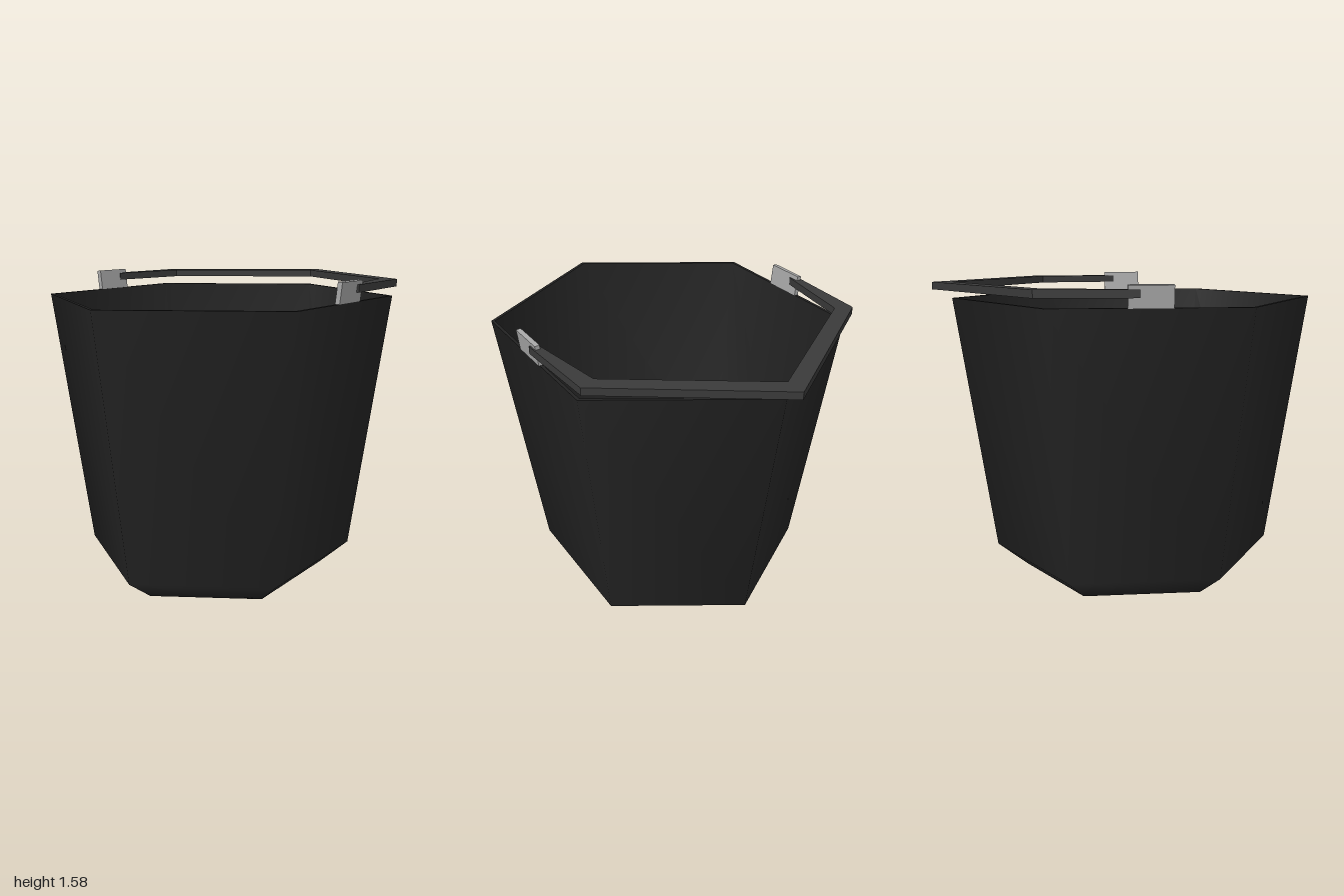
import * as THREE from 'three';

const bucketBlack = new THREE.MeshStandardMaterial({ color: 0x232323 });
bucketBlack.name = 'bucketBlack';
const handleGrey = new THREE.MeshStandardMaterial({ color: 0x3a3a3a });
handleGrey.name = 'handleGrey';
const bracketGrey = new THREE.MeshStandardMaterial({ color: 0xa8a8a8 });
bracketGrey.name = 'bracketGrey';

const CENTRE_X = -0.05;
const SQUASH = 0.924; // the hexagon is slightly narrower front to back
const RIM_Y = 1.48;

// Six-sided smooth shell from a [radius, height] profile, corners on the x axis
function hexShell(name, profile) {
  const points = profile.map(([r, y]) => new THREE.Vector2(r, y));
  const geometry = new THREE.LatheGeometry(points, 6, Math.PI / 2);
  geometry.scale(1, 1, SQUASH).translate(CENTRE_X, 0, 0);
  const mesh = new THREE.Mesh(geometry, bucketBlack);
  mesh.name = name;
  return mesh;
}

export function createModel() {
  const model = new THREE.Group();
  model.name = 'bucket';

  // Hollow body with a chamfered foot and a thin flat rim
  model.add(
    hexShell('outerWall', [[0, 0], [0.6, 0], [0.755, 0.12], [0.95, RIM_Y]]),
    hexShell('rim', [[0.95, RIM_Y], [0.93, RIM_Y]]),
    hexShell('innerWall', [[0.93, RIM_Y], [0.735, 0.13], [0.59, 0.02], [0, 0.02]])
  );

  // Flat angular handle lying over the right half of the rim
  const outline = [
    [0, 0.783], [0.47, 0.762], [1, 0], [0.47, -0.762], [0, -0.783],
    [0, -0.743], [0.43, -0.678], [0.895, 0], [0.43, 0.678], [0, 0.743],
  ];
  const handleGeometry = new THREE.ExtrudeGeometry(
    new THREE.Shape(outline.map(([x, z]) => new THREE.Vector2(x, z))),
    { depth: 0.038, bevelEnabled: false }
  );
  handleGeometry.rotateX(Math.PI / 2).translate(0, 1.563, 0);
  const handle = new THREE.Mesh(handleGeometry, handleGrey);
  handle.name = 'handle';
  model.add(handle);

  // Brackets on the front and back rim, leaning with the wall
  for (const side of [1, -1]) {
    const bracket = new THREE.Mesh(new THREE.BoxGeometry(0.208, 0.104, 0.024), bracketGrey);
    bracket.name = side > 0 ? 'frontBracket' : 'backBracket';
    bracket.position.set(-0.051, 1.531, 0.758 * side);
    bracket.rotation.x = 0.113 * side;
    model.add(bracket);
  }

  return model;
}
